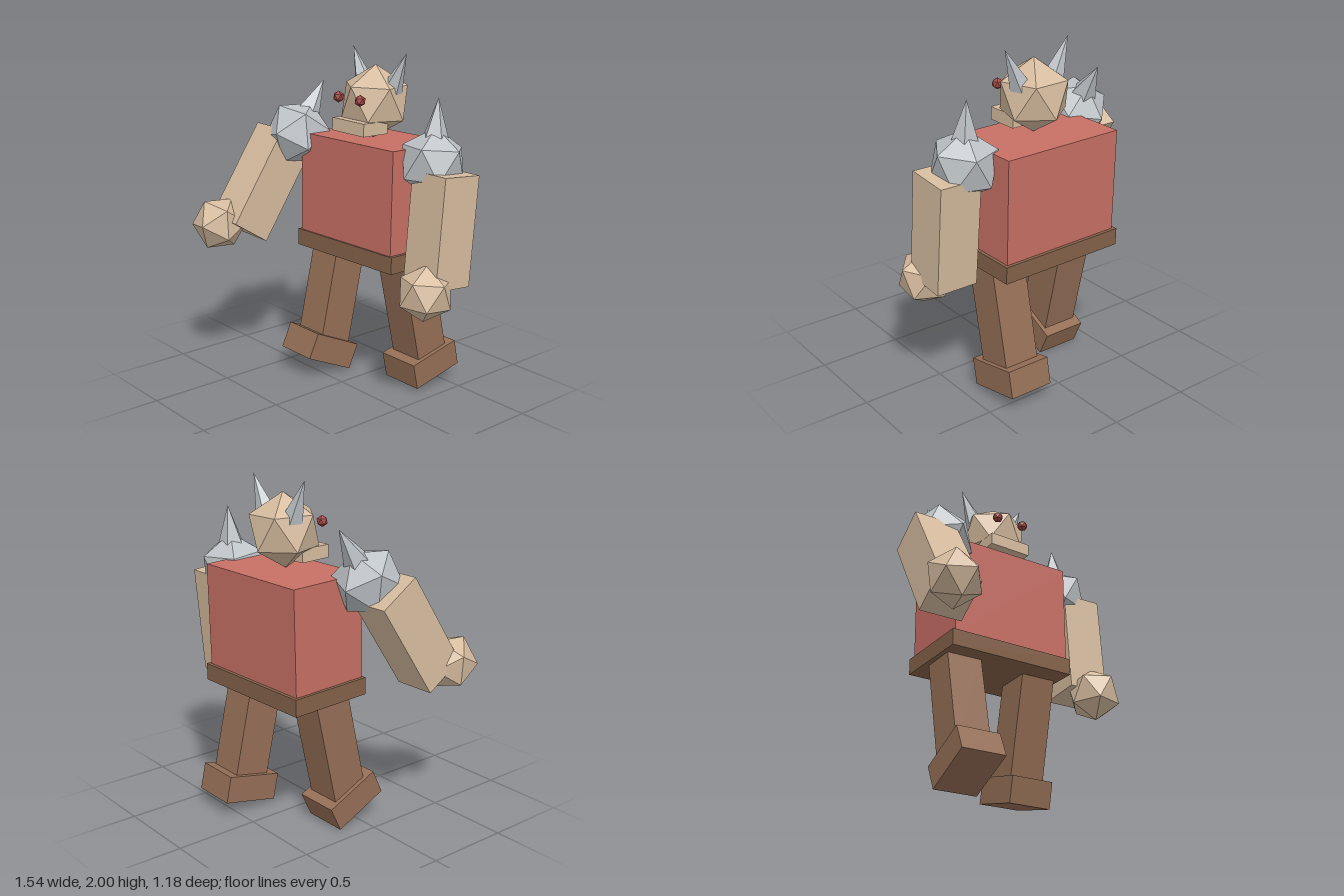
import * as THREE from 'three';

const paint = (name, color) => {
  const m = new THREE.MeshStandardMaterial({ color });
  m.name = name;
  return m;
};

export function createModel() {
  const skin = paint('skin', 0xd6bc9f);
  const red = paint('tunicRed', 0xc76f64);
  const eyeRed = paint('eyeRed', 0xa34a46);
  const leather = paint('trouserBrown', 0x956f56);
  const beltBrown = paint('beltBrown', 0x856249);
  const steel = paint('steel', 0xbec3c7);

  const model = new THREE.Group();
  model.name = 'hornedBrute';

  function add(parent, name, geometry, material, pos, rot = [0, 0, 0]) {
    const mesh = new THREE.Mesh(geometry, material);
    mesh.name = name;
    mesh.position.set(...pos);
    mesh.rotation.set(...rot);
    parent.add(mesh);
    return mesh;
  }
  const box = (w, h, d) => new THREE.BoxGeometry(w, h, d);
  // Icosahedron with one corner straight up and an upper corner facing forward
  const ball = (r, turn = 0) =>
    new THREE.IcosahedronGeometry(r, 0).rotateX(-1.0172).rotateY(turn);
  // Faceted spike
  const spike = (r, h) => {
    const g = new THREE.ConeGeometry(r, h, 5).toNonIndexed();
    g.computeVertexNormals();
    return g;
  };

  // Torso and belt, twisted and leaning slightly
  const body = new THREE.Group();
  body.name = 'body';
  body.position.set(0, 0.835, -0.255);
  body.rotation.set(-0.02, 0.03, 0);
  model.add(body);
  add(body, 'torso', box(0.77, 0.62, 0.48), red, [0, 0.34, 0.005]);
  add(body, 'belt', box(0.81, 0.1, 0.51), beltBrown, [0, 0, 0]);

  // Head with jaw, eyes and horns
  const head = new THREE.Group();
  head.name = 'head';
  head.position.set(0.005, 1.7, -0.245);
  head.rotation.set(-0.02, 0.03, -0.02);
  model.add(head);
  add(head, 'skull', ball(0.213), skin, [0, 0, 0]);
  add(head, 'jaw', box(0.265, 0.075, 0.19), skin, [0, -0.133, 0.11]);
  for (const s of [-1, 1]) {
    add(head, 'eye', ball(0.034), eyeRed, [s * 0.09, 0.03, 0.2]);
    add(head, 'horn', spike(0.065, 0.25), steel, [s * 0.165, 0.185, -0.025], [0, 0, -s * 0.45]);
  }

  // Arms swing about the shoulder balls
  function arm(side, x, y, z, swing, splay) {
    const g = new THREE.Group();
    g.name = side > 0 ? 'leftArm' : 'rightArm';
    g.position.set(x, y, z);
    g.rotation.set(swing, 0, splay);
    model.add(g);
    add(g, 'shoulderGuard', ball(0.2, side * 0.38), steel, [0, 0, 0]);
    add(g, 'shoulderSpike', spike(0.085, 0.25), steel, [0, 0.24, 0]);
    add(g, 'forearm', box(0.255, 0.635, 0.265), skin, [side * 0.105, -0.355, 0]);
    add(g, 'fist', ball(0.165, side * 0.25), skin, [side * 0.145, -0.7, 0.12]);
  }
  arm(1, 0.48, 1.41, -0.257, -0.09, 0);
  arm(-1, -0.465, 1.47, -0.045, -0.58, -0.02);

  // Striding legs and tilted feet
  function leg(name, x, y, z, swing, footY, footZ, footTilt) {
    const g = new THREE.Group();
    g.name = name;
    g.position.x = x;
    model.add(g);
    add(g, 'shin', box(0.22, 0.69, 0.225), leather, [0, y, z], [swing, 0, 0]);
    add(g, 'foot', box(0.272, 0.16, 0.35), leather, [0, footY, footZ], [footTilt, 0, 0]);
  }
  leg('leftLeg', 0.27, 0.51, -0.32, 0.22, 0.137, -0.4, 0.21);
  leg('rightLeg', -0.263, 0.485, -0.14, -0.22, 0.148, -0.045, -0.44);

  return model;
}
